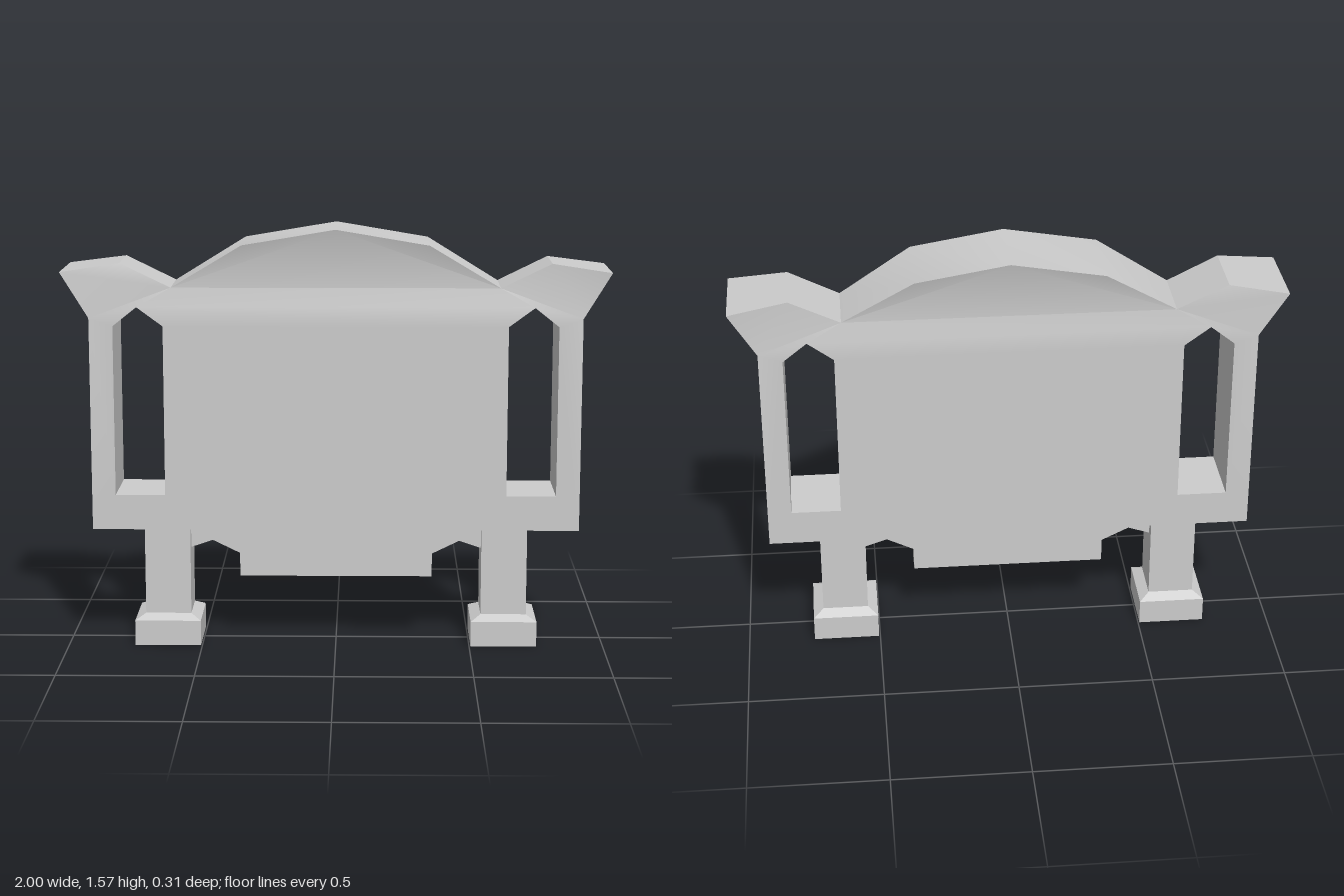
import * as THREE from 'three';
import { toCreasedNormals } from 'three/addons/utils/BufferGeometryUtils.js';

const points = (list) => list.map(([x, y]) => new THREE.Vector2(x, y));

// Half thickness along the top edge of the panel, as [distance from centre, half depth]
const TOP_DEPTH = [[0, 0.154], [0.34, 0.154], [0.6, 0.12], [0.785, 0.125], [1, 0.154]];
const BODY_DEPTH = 0.135;

function halfDepth(x, y) {
  if (y < 1.3) return BODY_DEPTH;
  const d = Math.abs(x);
  for (let i = 1; i < TOP_DEPTH.length; i++) {
    const [x0, d0] = TOP_DEPTH[i - 1];
    const [x1, d1] = TOP_DEPTH[i];
    if (d <= x1) return THREE.MathUtils.lerp(d0, d1, (d - x0) / (x1 - x0));
  }
  return TOP_DEPTH[TOP_DEPTH.length - 1][1];
}

// Full outline from its right half, listed from bottom to top
function mirroredShape(half) {
  const other = half.filter(([x]) => x > 0).map(([x, y]) => [-x, y]).reverse();
  return new THREE.Shape(points([...half, ...other]));
}

// Extrude one unit, then set the thickness at every vertex by a rule
function slab(shape, depthAt) {
  const geometry = new THREE.ExtrudeGeometry(shape, { depth: 1, bevelEnabled: false });
  const p = geometry.attributes.position;
  for (let i = 0; i < p.count; i++) {
    const h = depthAt(p.getX(i), p.getY(i));
    p.setZ(i, p.getZ(i) > 0.5 ? h : -h);
  }
  return toCreasedNormals(geometry, 0.5);
}

export function createModel() {
  const model = new THREE.Group();
  model.name = 'standingPanel';
  const stone = new THREE.MeshStandardMaterial({ color: 0xcccccc, side: THREE.DoubleSide });
  stone.name = 'paleGrey';

  const add = (name, geometry, x = 0) => {
    const mesh = new THREE.Mesh(geometry, stone);
    mesh.name = name;
    mesh.position.x = x;
    model.add(mesh);
  };

  // Main panel with a domed crown, flared corners and two pointed slots
  const panel = mirroredShape([
    [0.9, 0.45], [0.9, 1.24], [1, 1.41], [0.785, 1.44], [0.6, 1.35], [0.34, 1.508], [0, 1.565],
  ]);
  for (const s of [-1, 1]) {
    const slot = [[0.63, 0.58], [0.63, 1.21], [0.725, 1.28], [0.813, 1.21], [0.813, 0.58]];
    panel.holes.push(new THREE.Path(points(slot.map(([x, y]) => [s * x, y]))));
  }
  add('panel', slab(panel, halfDepth));

  // Thin apron hanging between the legs
  const apron = mirroredShape([
    [0.36, 0.25], [0.36, 0.338], [0.462, 0.388], [0.545, 0.36], [0.545, 0.45],
  ]);
  add('apron', slab(apron, () => 0.045));

  // Square hollow legs with stepped feet, open underneath
  const r = Math.SQRT2;
  const profile = points([
    [0.123 * r, 0], [0.123 * r, 0.095], [0.085 * r, 0.115], [0.085 * r, 0.45],
  ]);
  const leg = new THREE.LatheGeometry(profile, 4).rotateY(Math.PI / 4).toNonIndexed();
  leg.computeVertexNormals();
  add('leftLeg', leg, 0.628);
  add('rightLeg', leg, -0.628);

  return model;
}
